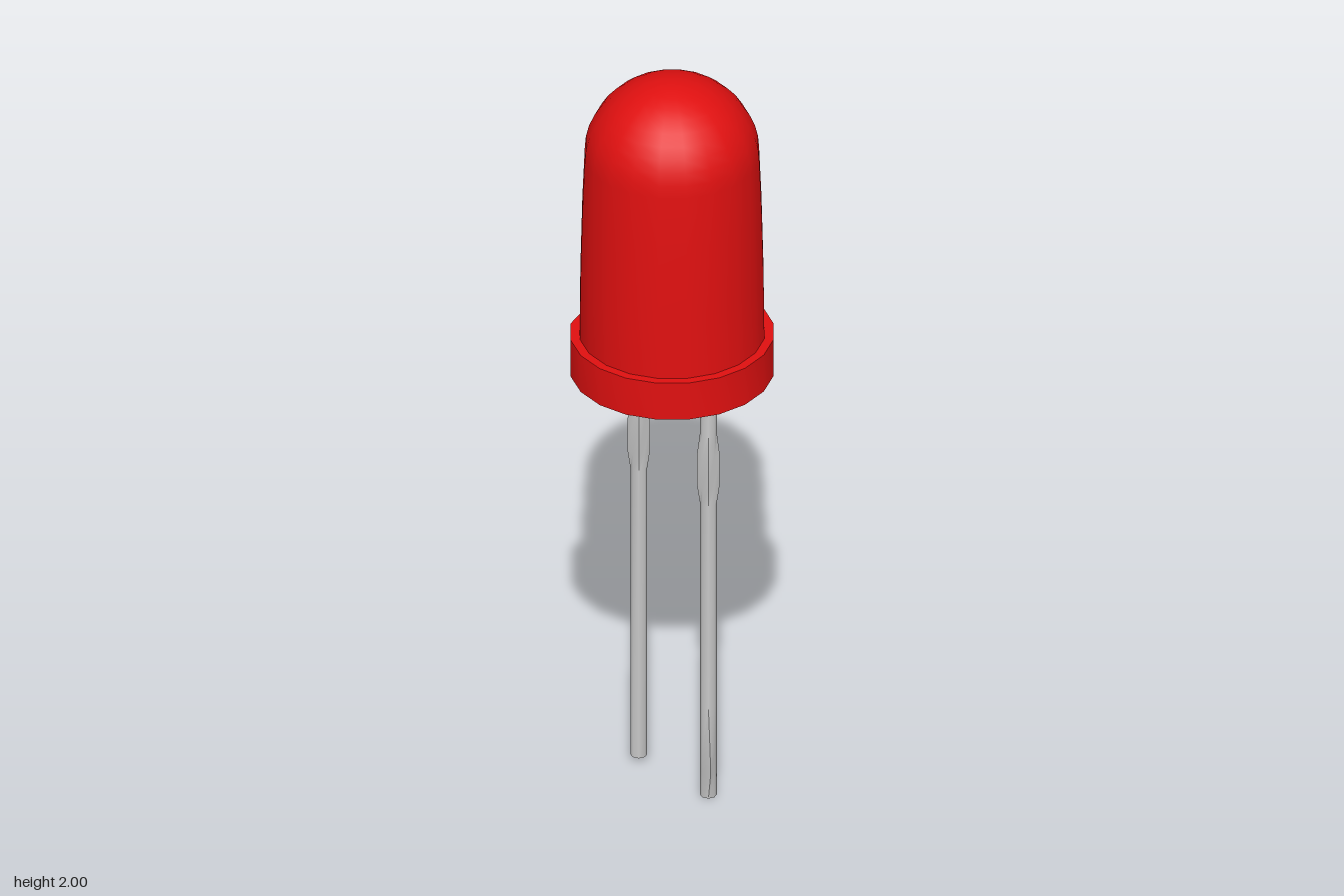
import * as THREE from 'three';
import { toCreasedNormals } from 'three/addons/utils/BufferGeometryUtils.js';

const SIDES = 20;
const CENTRE_X = -0.012;
const FLAT_X = -0.243; // flat that marks the short lead

// Revolve a profile of [radius, y] pairs, then cut the flat on the -x side.
function turned(points, crease) {
  const geo = new THREE.LatheGeometry(points.map(([r, y]) => new THREE.Vector2(r, y)), SIDES);
  geo.translate(CENTRE_X, 0, 0);
  const pos = geo.attributes.position;
  for (let i = 0; i < pos.count; i++) pos.setX(i, Math.max(pos.getX(i), FLAT_X));
  return toCreasedNormals(geo, crease);
}

// Round wire whose rings are [y, squareness, corner]; squareness swells the ring
// to a square, corner pulls out only the +x +z edge.
function wire(x, rings) {
  const r = 0.021, n = rings.length - 1;
  const geo = new THREE.CylinderGeometry(1, 1, n, 8, n);
  const pos = geo.attributes.position;
  for (let i = 0; i < pos.count; i++) {
    const [y, square, corner] = rings[Math.round(pos.getY(i) + n / 2)];
    const c = pos.getX(i), s = pos.getZ(i);
    const reach = Math.max(Math.abs(c), Math.abs(s));
    const k = reach > 0.01 ? 1 + square * (1 / reach - 1) : 1;
    const pull = c > 0.1 && s > 0.1 ? corner : 0;
    pos.setXYZ(i, x + c * k * r + pull * 0.013, y, s * k * r + pull * 0.006);
  }
  return toCreasedNormals(geo, 0.9);
}

export function createModel() {
  const red = new THREE.MeshStandardMaterial({ color: 0xe01010 });
  red.name = 'redPlastic';
  const metal = new THREE.MeshStandardMaterial({ color: 0xc8c8c8 });
  metal.name = 'leadMetal';

  const model = new THREE.Group();
  model.name = 'indicatorLamp';
  const add = (name, geo, mat) => {
    const mesh = new THREE.Mesh(geo, mat);
    mesh.name = name;
    model.add(mesh);
  };

  // Slightly tapered lens closing in a rounded dome
  const profile = [[0.232, 1.27], [0.23, 1.45], [0.225, 1.65]];
  for (let i = 0; i <= 10; i++) {
    const a = (i / 10) * Math.PI / 2;
    profile.push([i === 10 ? 0 : 0.219 * Math.cos(a), 1.79 + 0.21 * Math.sin(a)]);
  }
  add('domeLens', turned(profile, 0.7), red);

  // Collar at the base, closed underneath
  add('baseFlange', turned([[0, 1.175], [0.255, 1.175], [0.255, 1.28], [0, 1.28]], 0.7), red);

  // Leads, pressed square below the base; the long one has a sheared tip
  const upper = [[0.84, 0, 0], [0.89, 0.8, 0], [0.98, 0.8, 0], [1.04, 0, 0], [1.18, 0, 0]];
  add('shortLead', wire(-0.128, [[0.015, 0, 0], ...upper]), metal);
  add('longLead', wire(0.115, [[0, 0, 0], [0.07, 0, 1], [0.13, 0, 0.9], [0.26, 0, 0], ...upper]), metal);

  return model;
}
